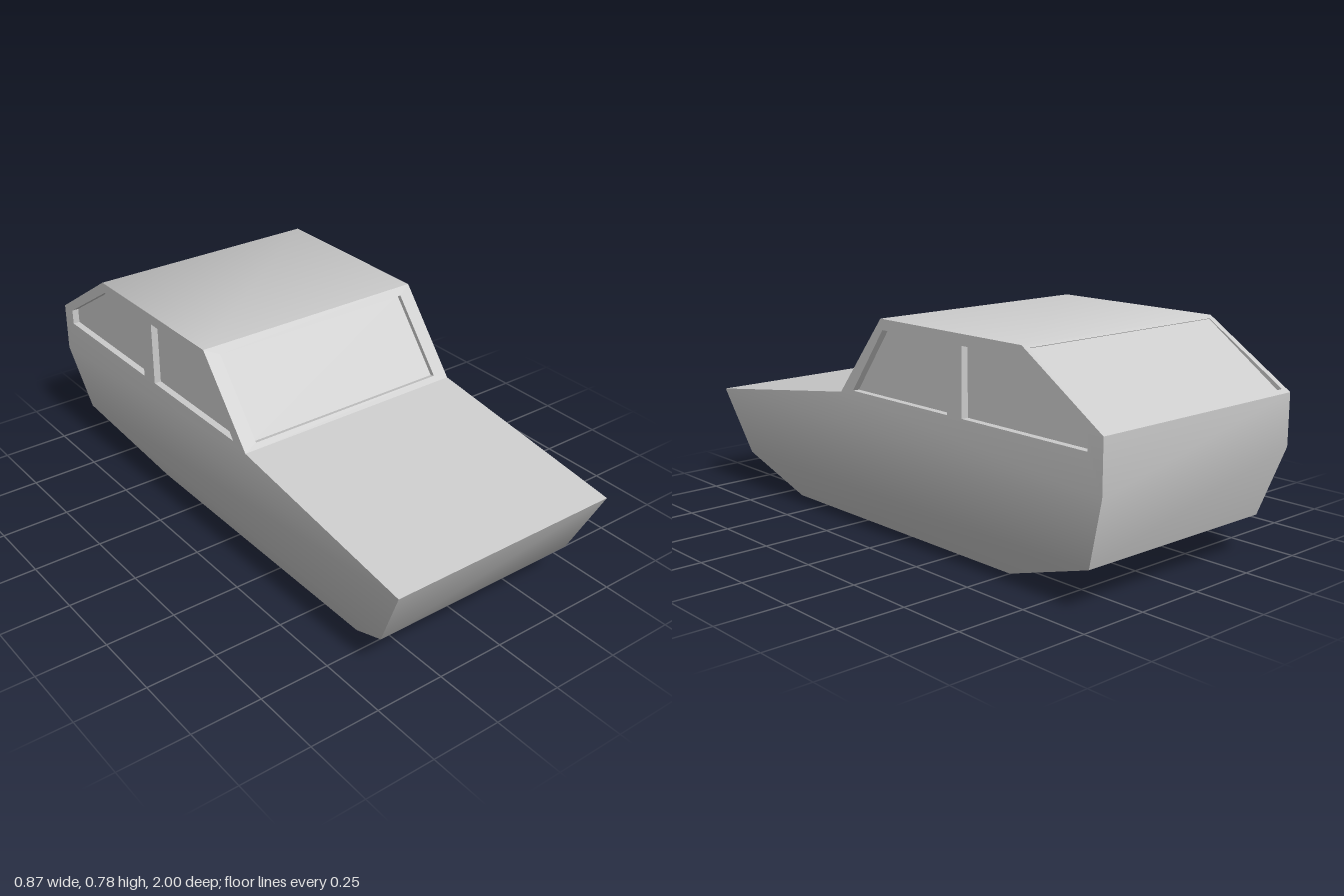
import * as THREE from 'three';
import { mergeGeometries, toCreasedNormals } from 'three/addons/utils/BufferGeometryUtils.js';

const { lerp } = THREE.MathUtils;
const HALF = 0.437;
const v2 = pts => pts.map(p => new THREE.Vector2(p[0], p[1]));

// Flat convex polygon, corners anticlockwise from outside
function polygon(corners) {
  const pos = [];
  for (let i = 1; i < corners.length - 1; i++) {
    for (const c of [corners[0], corners[i], corners[i + 1]]) pos.push(...c);
  }
  return new THREE.BufferGeometry().setAttribute('position', new THREE.Float32BufferAttribute(pos, 3));
}

// Panel with window openings; map turns (u, v, depth) into [x, y, z]
function panel(outline, holes, map) {
  const shape = new THREE.Shape(v2(outline));
  shape.holes = holes.map(h => new THREE.Path(v2(h)));
  const geo = new THREE.ShapeGeometry(shape).toNonIndexed();
  geo.deleteAttribute('normal');
  geo.deleteAttribute('uv');
  const p = geo.attributes.position;
  for (let i = 0; i < p.count; i++) p.setXYZ(i, ...map(p.getX(i), p.getY(i), 0));
  return geo;
}

// Sunken pane with the reveal around it
function windowGeometry(points, depth, map) {
  const pts = THREE.ShapeUtils.isClockWise(v2(points)) ? [...points].reverse() : points;
  const outer = pts.map(([u, v]) => map(u, v, 0));
  const inner = pts.map(([u, v]) => map(u, v, depth));
  const parts = [polygon(inner)];
  outer.forEach((a, i) => {
    const j = (i + 1) % outer.length;
    parts.push(polygon([a, outer[j], inner[j], inner[i]]));
  });
  const geo = mergeGeometries(parts);
  geo.computeVertexNormals();
  return geo;
}

export function createModel() {
  const group = new THREE.Group();
  const material = new THREE.MeshStandardMaterial({ color: 0xcccccc });
  const windowMaterial = new THREE.MeshStandardMaterial({ color: 0xcccccc, side: THREE.DoubleSide });
  const add = (name, geo, mat) => {
    const mesh = new THREE.Mesh(geo, mat);
    mesh.name = name;
    group.add(mesh);
  };

  // Side profile as [z, y], and half width by height
  const profile = [[0.67, 0], [0.885, 0.145], [1, 0.385], [0.23, 0.495], [0, 0.777],
    [-0.67, 0.777], [-1, 0.565], [-1, 0.385], [-0.92, 0.145], [-0.5, 0]];
  const halfWidth = y => (y < 0.1 ? 0.318 : y < 0.3 ? 0.4 : HALF);
  const body = [];

  // Panels across the car, leaving out the windscreen (3) and rear slope (5)
  profile.forEach((p, i) => {
    if (i === 3 || i === 5) return;
    const q = profile[(i + 1) % profile.length];
    const a = halfWidth(p[1]), b = halfWidth(q[1]);
    body.push(polygon([[-a, p[1], p[0]], [a, p[1], p[0]], [b, q[1], q[0]], [-b, q[1], q[0]]]));
  });

  // Body sides: upright upper wall with windows, two tapering lower bands
  const sideWindows = {
    FrontSideWindow: [[0.16, 0.51], [-0.01, 0.74], [-0.335, 0.74], [-0.335, 0.51]],
    RearSideWindow: [[-0.405, 0.51], [-0.405, 0.74], [-0.66, 0.74], [-0.94, 0.565], [-0.94, 0.51]],
  };
  for (const s of [1, -1]) {
    const map = (u, v, d) => [s * (HALF - d), v, -s * u];
    const toUV = pts => pts.map(([z, y]) => [-s * z, y]);
    body.push(panel(toUV(profile.slice(2, 8)), Object.values(sideWindows).map(toUV), map));
    for (const band of [[1, 8, 7, 2], [0, 9, 8, 1]]) {
      const corners = band.map(i => [s * halfWidth(profile[i][1]), profile[i][1], profile[i][0]]);
      body.push(polygon(s > 0 ? corners : corners.reverse()));
    }
    for (const [name, pts] of Object.entries(sideWindows)) {
      add((s > 0 ? 'left' : 'right') + name, windowGeometry(toUV(pts), 0.025, map), windowMaterial);
    }
  }

  // Windscreen and rear window, v running from 0 to 1 up the slope
  const rect = (w, v0, v1) => [[-w, v0], [w, v0], [w, v1], [-w, v1]];
  const frontMap = (u, v, d) => [u, lerp(0.495, 0.777, v) - 0.25 * d, lerp(0.23, 0, v) - d];
  const rearMap = (u, v, d) => {
    const k = d * (1 - 0.9 * v); // pane sinks deeper towards its lower edge
    return [-u, lerp(0.565, 0.777, v) - 0.84 * k, lerp(-1, -0.67, v) + 0.54 * k];
  };
  for (const [name, pts, depth, map] of [
    ['windscreen', rect(0.385, 0.06, 0.915), 0.017, frontMap],
    ['rearWindow', rect(0.415, 0.05, 0.96), 0.016, rearMap],
  ]) {
    body.push(panel(rect(HALF, 0, 1), [pts], map));
    add(name, windowGeometry(pts, depth, map), windowMaterial);
  }

  add('body', toCreasedNormals(mergeGeometries(body), THREE.MathUtils.degToRad(36)), material);
  return group;
}
